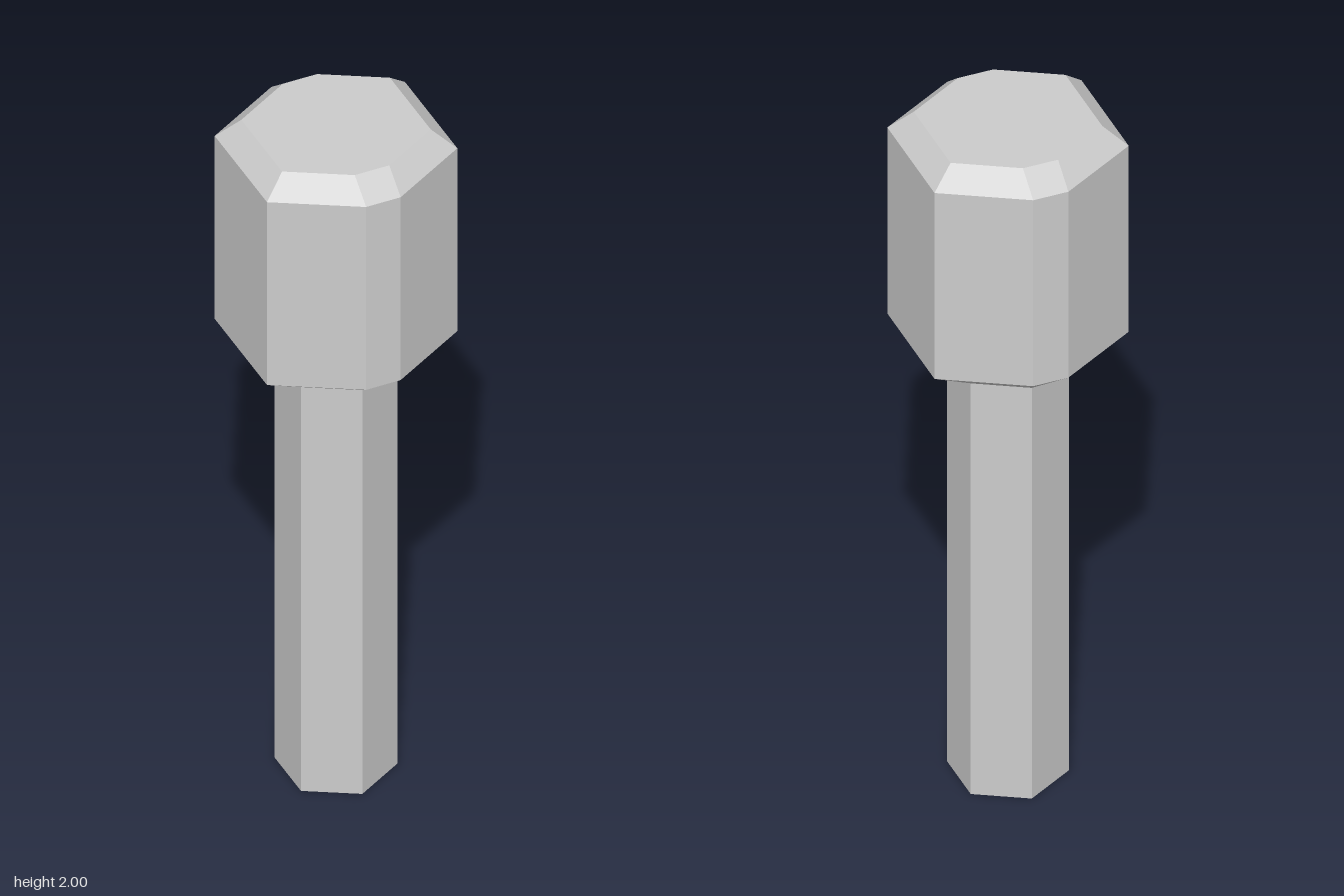
import * as THREE from 'three';

// Eight-point ring: narrow flats front and back, a wide flat on each side
function ring(y, flatX, flatZ, sideX, sideZ) {
  return [
    [flatX, flatZ], [sideX, sideZ], [sideX, -sideZ], [flatX, -flatZ],
    [-flatX, -flatZ], [-sideX, -sideZ], [-sideX, sideZ], [-flatX, flatZ],
  ].map(([x, z]) => new THREE.Vector3(x, y, z));
}

// Faceted skin through the rings from bottom to top, capped at the top
function loft(rings) {
  const points = [];
  const addTriangle = (a, b, c) => {
    if (!a.equals(b) && !b.equals(c) && !c.equals(a)) points.push(a, b, c);
  };
  for (let r = 0; r < rings.length - 1; r++) {
    const low = rings[r], high = rings[r + 1];
    for (let i = 0; i < low.length; i++) {
      const j = (i + 1) % low.length;
      addTriangle(low[i], low[j], high[j]);
      addTriangle(low[i], high[j], high[i]);
    }
  }
  const top = rings[rings.length - 1];
  for (let i = 1; i < top.length - 1; i++) addTriangle(top[0], top[i], top[i + 1]);
  const geometry = new THREE.BufferGeometry().setFromPoints(points);
  geometry.computeVertexNormals();
  return geometry;
}

export function createModel() {
  const model = new THREE.Group();
  model.name = 'mallet';
  const material = new THREE.MeshStandardMaterial({
    color: 0xcccccc, flatShading: true, side: THREE.DoubleSide,
  });

  const radius = 0.155;
  const neckY = 1.27;

  // Hollow hexagonal handle, open at the foot
  const handle = new THREE.Mesh(
    new THREE.CylinderGeometry(radius, radius, neckY, 6, 1, true), material);
  handle.name = 'handle';
  handle.position.y = neckY / 2;
  model.add(handle);

  // Head: collar flaring from the handle, straight body, bevelled top
  const head = new THREE.Mesh(loft([
    ring(neckY, 0, radius, radius * Math.sqrt(3) / 2, radius / 2),
    ring(1.37, 0.048, 0.279, 0.265, 0.154),
    ring(1.945, 0.048, 0.279, 0.265, 0.154),
    ring(2, 0.048, 0.212, 0.207, 0.12),
  ]), material);
  head.name = 'head';
  model.add(head);

  return model;
}
